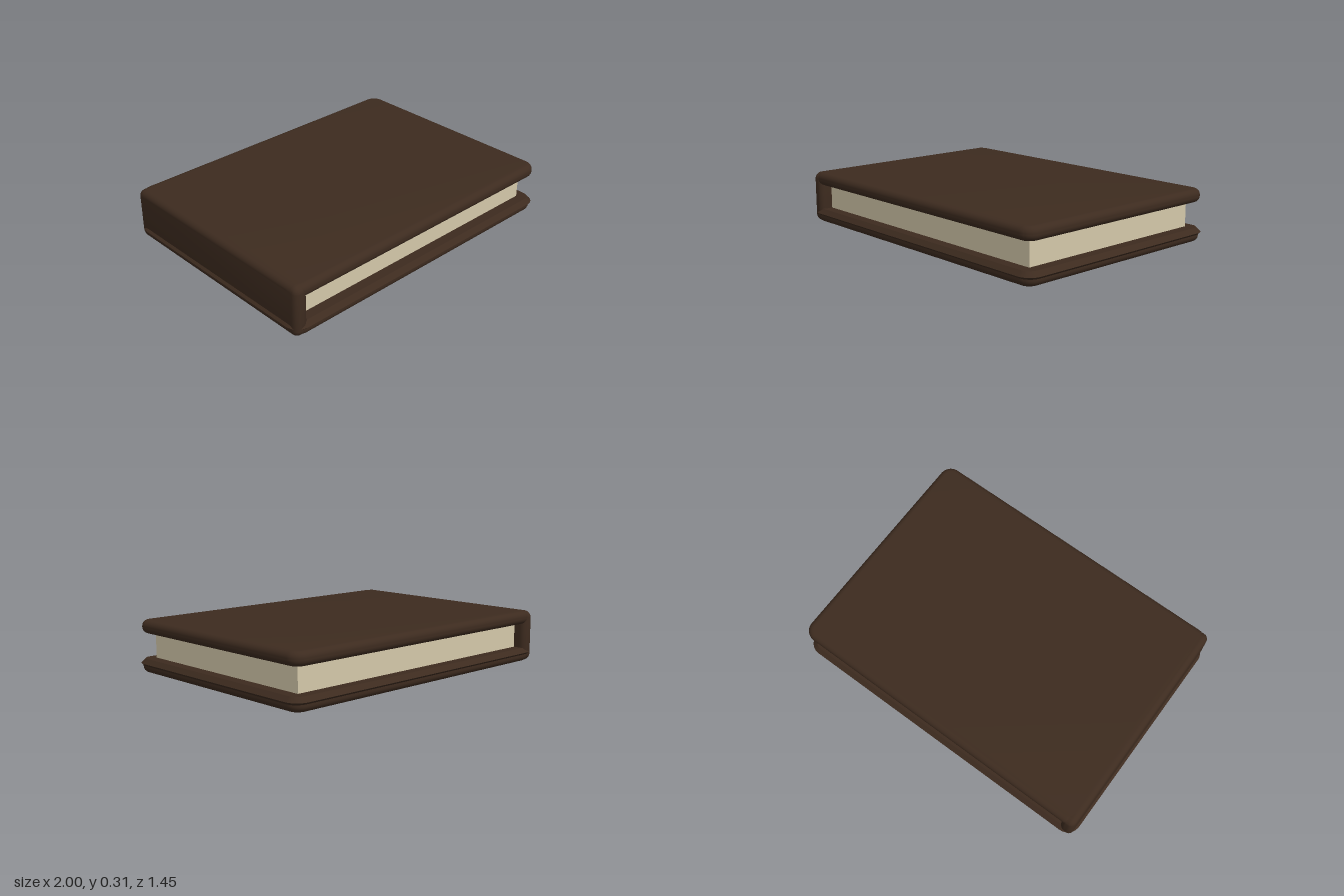
import * as THREE from 'three';
import { mergeVertices, toCreasedNormals } from 'three/addons/utils/BufferGeometryUtils.js';

// Rounded rectangle outline centred on the origin
function roundedRect(w, h, r) {
  const s = new THREE.Shape();
  const x = w / 2, y = h / 2;
  s.absarc(x - r, y - r, r, 0, Math.PI / 2);
  s.absarc(-x + r, y - r, r, Math.PI / 2, Math.PI);
  s.absarc(-x + r, -y + r, r, Math.PI, Math.PI * 1.5);
  s.absarc(x - r, -y + r, r, Math.PI * 1.5, Math.PI * 2);
  s.closePath();
  return s;
}

// Soft-edged board lying in the xy plane, centred on z
function board(w, h, thickness, corner, bevel, segments = 5) {
  const geo = new THREE.ExtrudeGeometry(roundedRect(w - 2 * bevel, h - 2 * bevel, corner - bevel), {
    depth: thickness - 2 * bevel,
    bevelThickness: bevel,
    bevelSize: bevel,
    bevelSegments: segments,
    curveSegments: 6,
  });
  geo.translate(0, 0, -thickness / 2 + bevel);
  geo.deleteAttribute('normal');
  geo.deleteAttribute('uv');
  return toCreasedNormals(mergeVertices(geo, 1e-5), 0.6);
}

export function createModel() {
  const book = new THREE.Group();
  book.name = 'book';

  const leather = new THREE.MeshStandardMaterial({ color: 0x3d2b1f });
  leather.name = 'dark brown leather';
  const paper = new THREE.MeshStandardMaterial({ color: 0xd4c8aa });
  paper.name = 'cream paper';

  const add = (name, geo, mat, x, y, z) => {
    const mesh = new THREE.Mesh(geo, mat);
    mesh.name = name;
    mesh.position.set(x, y, z);
    book.add(mesh);
  };

  // Front and back covers
  const cover = board(1.974, 1.424, 0.08, 0.075, 0.036).rotateX(-Math.PI / 2);
  add('bottomCover', cover, leather, 0, 0.04, 0);
  add('topCover', cover, leather, 0, 0.275, 0);

  // Thin ridge running around the bottom cover
  const ridge = board(2, 1.446, 0.054, 0.085, 0.0269, 1).rotateX(-Math.PI / 2);
  add('bottomRidge', ridge, leather, 0, 0.057, 0);

  // Spine joining the covers
  const spine = board(1.424, 0.315, 0.085, 0.045, 0.036).rotateY(Math.PI / 2);
  add('spine', spine, leather, -0.9445, 0.1575, 0);

  // Page block
  add('pages', new THREE.BoxGeometry(1.83, 0.2, 1.27), paper, -0.005, 0.16, 0);

  return book;
}
